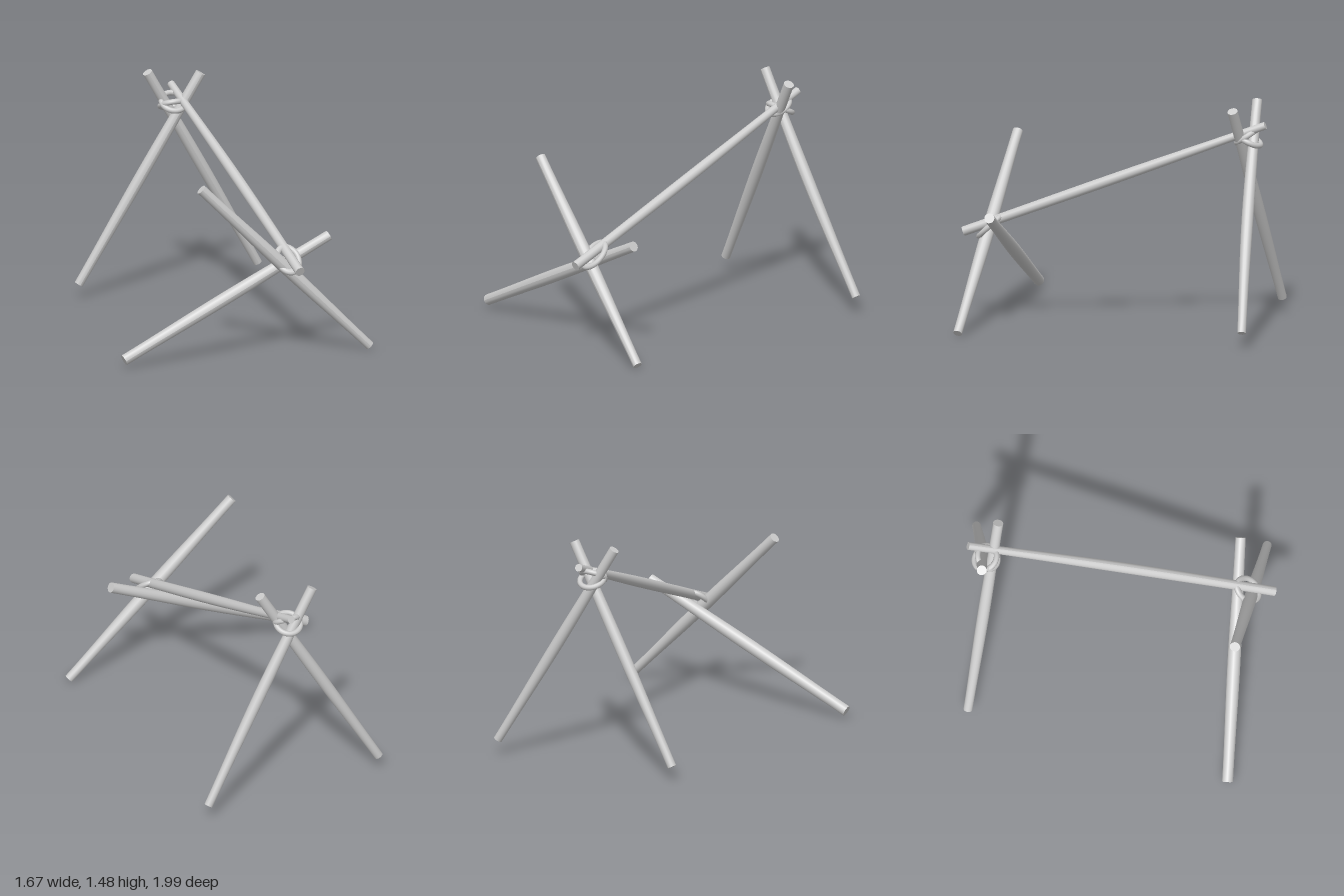
import * as THREE from 'three';

const material = new THREE.MeshStandardMaterial({ color: 0xcccccc });

// Slightly swollen wooden pole from a to b; radii at a, middle and b, with an optional sideways bow
function pole(name, a, b, [ra, rm, rb], bow = [0, 0, 0]) {
  const start = new THREE.Vector3(...a);
  const end = new THREE.Vector3(...b);
  const axis = end.clone().sub(start);
  const length = axis.length();
  const turn = new THREE.Quaternion().setFromUnitVectors(new THREE.Vector3(0, 1, 0), axis.normalize());
  const geometry = new THREE.CylinderGeometry(1, 1, length, 16, 16);
  const pos = geometry.attributes.position;
  const v = new THREE.Vector3();
  const bend = new THREE.Vector3(...bow);
  for (let i = 0; i < pos.count; i++) {
    v.fromBufferAttribute(pos, i);
    const t = v.y / length + 0.5;
    const belly = Math.sin(Math.PI * t);
    const r = THREE.MathUtils.lerp(ra, rb, t) + (rm - (ra + rb) / 2) * belly * belly;
    v.x *= r;
    v.z *= r;
    v.applyQuaternion(turn).addScaledVector(bend, belly);
    pos.setXYZ(i, v.x, v.y, v.z);
  }
  geometry.computeVertexNormals();
  const mesh = new THREE.Mesh(geometry, material);
  mesh.name = name;
  mesh.position.copy(start).add(end).multiplyScalar(0.5);
  return mesh;
}

// Rope loop lying flat, then tilted about x
function ropeLoop(name, centre, radius, tilt, stretch = 1) {
  const mesh = new THREE.Mesh(new THREE.TorusGeometry(radius, 0.018, 10, 36), material);
  mesh.name = name;
  mesh.position.set(...centre);
  mesh.rotation.x = Math.PI / 2 + tilt;
  mesh.scale.y = stretch;
  return mesh;
}

export function createModel() {
  const model = new THREE.Group();
  model.name = 'poleShelterFrame';

  model.add(
    // tall crossed pair at the back
    pole('backRightPole', [-0.51, 0.1, -0.9], [0.275, 1.455, -0.785], [0.029, 0.038, 0.033]),
    pole('backLeftPole', [0.73, 0.11, -0.97], [-0.06, 1.47, -0.857], [0.028, 0.038, 0.032], [0, 0, 0.012]),
    // low crossed pair at the front
    pole('frontRightPole', [-0.82, 0.06, 0.795], [0.59, 0.74, 0.737], [0.035, 0.042, 0.033]),
    pole('frontLeftPole', [0.815, 0.028, 0.885], [-0.295, 1.138, 0.79], [0.029, 0.042, 0.033]),
    // sloping ridge resting in both crossings
    pole('ridgePole', [0.305, 0.588, 0.985], [0.14, 1.347, -0.965], [0.031, 0.034, 0.025], [0.008, 0, 0]),
  );

  // rope lashings
  const lashings = new THREE.Group();
  lashings.name = 'lashings';
  lashings.add(
    ropeLoop('backLashingLower', [0.107, 1.245, -0.85], 0.08, -0.47),
    ropeLoop('backLashingUpper', [0.107, 1.265, -0.835], 0.078, 0.6),
    ropeLoop('frontLashing', [0.285, 0.627, 0.815], 0.072, 0.76, 1.3),
  );
  model.add(lashings);
  return model;
}
